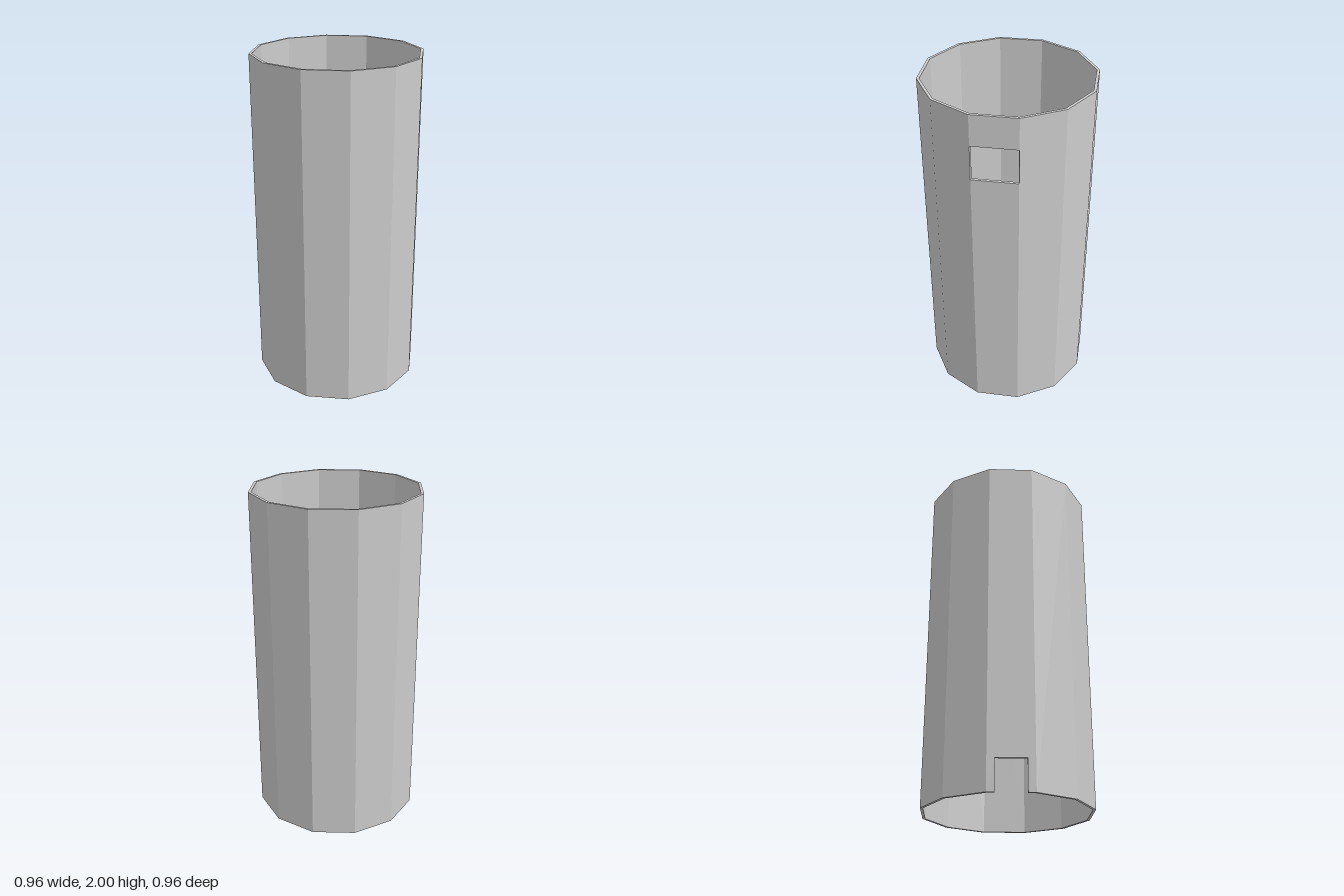
import * as THREE from 'three';

const SIDES = 12, HEIGHT = 2;
const OUTER = 0.478, INNER = 0.462; // centre axis to flat faces
const T = Math.tan(Math.PI / SIDES);
const HALF = OUTER * T; // half width of one outer panel

const rect = (y0, y1) => [[-HALF, y0], [HALF, y0], [HALF, y1], [-HALF, y1]];

// One flat wall panel: outer skin, inner skin and the rims between them.
// Contours run counter-clockwise; edges on the seams get no rim.
function addPanel(out, index, contours, jambs = []) {
  const up = new THREE.Vector3(0, 1, 0);
  const angle = index * 2 * Math.PI / SIDES;
  const put = ([s, y], inside) => {
    const x = inside && Math.abs(s) === HALF ? Math.sign(s) * INNER * T : s;
    out.push(new THREE.Vector3(x, y, inside ? INNER : OUTER).applyAxisAngle(up, angle));
  };
  const rim = (p, q) => {
    put(p, false); put(p, true); put(q, true);
    put(p, false); put(q, true); put(q, false);
  };
  for (const c of contours) {
    const points = c.map(([s, y]) => new THREE.Vector2(s, y));
    for (const [i, j, k] of THREE.ShapeUtils.triangulateShape(points, [])) {
      [i, j, k].forEach(n => put(c[n], false));
      [k, j, i].forEach(n => put(c[n], true));
    }
    c.forEach((p, i) => {
      const q = c[(i + 1) % c.length];
      if (!(p[0] === q[0] && Math.abs(p[0]) === HALF)) rim(p, q);
    });
  }
  jambs.forEach(([p, q]) => rim(p, q));
}

export function createModel() {
  const group = new THREE.Group();
  group.name = 'openTube';
  const vertices = [];

  // window across the full panel on the left, near the top
  const low = 1.62, high = 1.82;
  // notch in the bottom edge of the right panel
  const nw = 0.085, nh = 0.18;
  const notched = [
    [-HALF, 0], [-nw, 0], [-nw, nh], [nw, nh], [nw, 0],
    [HALF, 0], [HALF, HEIGHT], [-HALF, HEIGHT],
  ];

  for (let i = 0; i < SIDES; i++) {
    if (i === 3) {
      addPanel(vertices, i, [rect(0, low), rect(high, HEIGHT)], [
        [[HALF, high], [HALF, low]],
        [[-HALF, low], [-HALF, high]],
      ]);
    } else if (i === 9) {
      addPanel(vertices, i, [notched]);
    } else {
      addPanel(vertices, i, [rect(0, HEIGHT)]);
    }
  }

  const geometry = new THREE.BufferGeometry().setFromPoints(vertices);
  geometry.computeVertexNormals();
  const wall = new THREE.Mesh(
    geometry,
    new THREE.MeshStandardMaterial({ color: 0xcccccc, flatShading: true })
  );
  wall.name = 'tubeWall';
  group.add(wall);
  return group;
}
